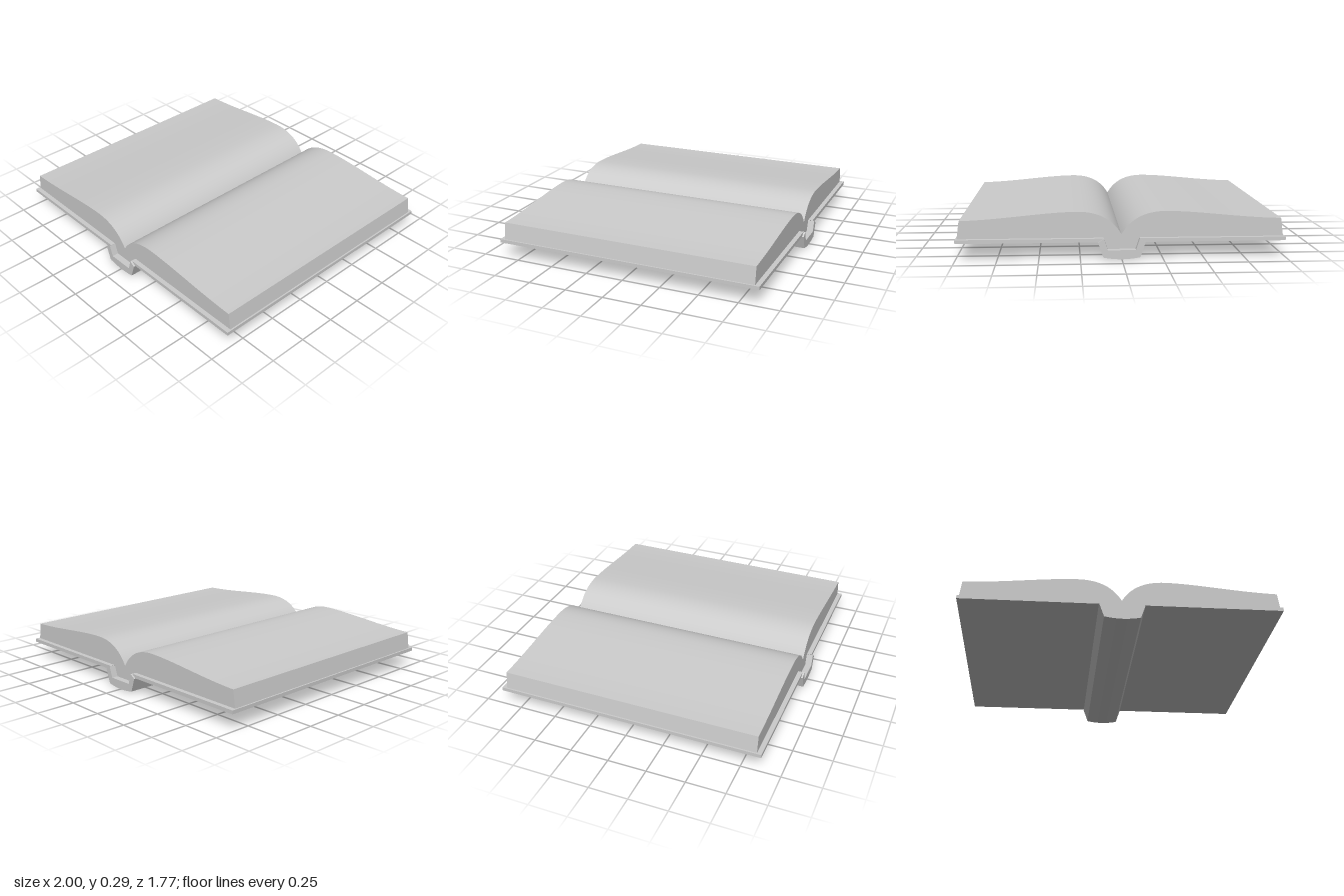
import * as THREE from 'three';
import { toCreasedNormals } from 'three/addons/utils/BufferGeometryUtils.js';

const material = new THREE.MeshStandardMaterial({ color: 0xcccccc });

// Extrude a front profile along z, centred, with smooth curves and sharp corners
function slab(name, shape, depth) {
  const geometry = new THREE.ExtrudeGeometry(shape, { depth, bevelEnabled: false, curveSegments: 20 });
  geometry.translate(0, 0, -depth / 2);
  const mesh = new THREE.Mesh(toCreasedNormals(geometry, 0.5), material);
  mesh.name = name;
  return mesh;
}

// Half of the page block: s = 1 for left, -1 for right
function pageShape(s) {
  const shape = new THREE.Shape();
  shape.moveTo(0, 0.06);
  shape.lineTo(s * 0.085, 0.06);
  shape.lineTo(s * 0.11, 0.13);
  shape.lineTo(s * 0.99, 0.13);
  shape.lineTo(s * 0.975, 0.24);
  shape.bezierCurveTo(s * 0.72, 0.246, s * 0.47, 0.289, s * 0.27, 0.29);
  shape.bezierCurveTo(s * 0.13, 0.29, s * 0.05, 0.235, 0, 0.15);
  shape.closePath();
  return shape;
}

// Cover board with a slanted hinge edge
function coverShape(s) {
  return new THREE.Shape([[0.14, 0.107], [1, 0.107], [1, 0.13], [0.11, 0.13]]
    .map(([x, y]) => new THREE.Vector2(s * x, y)));
}

// Trough-shaped spine with a slightly rounded back
function spineShape() {
  const shape = new THREE.Shape();
  shape.moveTo(-0.143, 0.107);
  shape.lineTo(-0.112, 0.016);
  shape.quadraticCurveTo(0, -0.008, 0.112, 0.016);
  shape.lineTo(0.143, 0.107);
  shape.lineTo(0.108, 0.13);
  shape.lineTo(0.085, 0.06);
  shape.lineTo(-0.085, 0.06);
  shape.lineTo(-0.108, 0.13);
  shape.closePath();
  return shape;
}

export function createModel() {
  const book = new THREE.Group();
  book.name = 'openBook';
  for (const [side, s] of [['left', 1], ['right', -1]]) {
    book.add(slab(side + 'Pages', pageShape(s), 1.69));
    book.add(slab(side + 'Cover', coverShape(s), 1.75));
  }
  book.add(slab('spine', spineShape(), 1.774));
  // Rest the rounded spine on the ground
  book.position.y = -0.004;
  return book;
}
